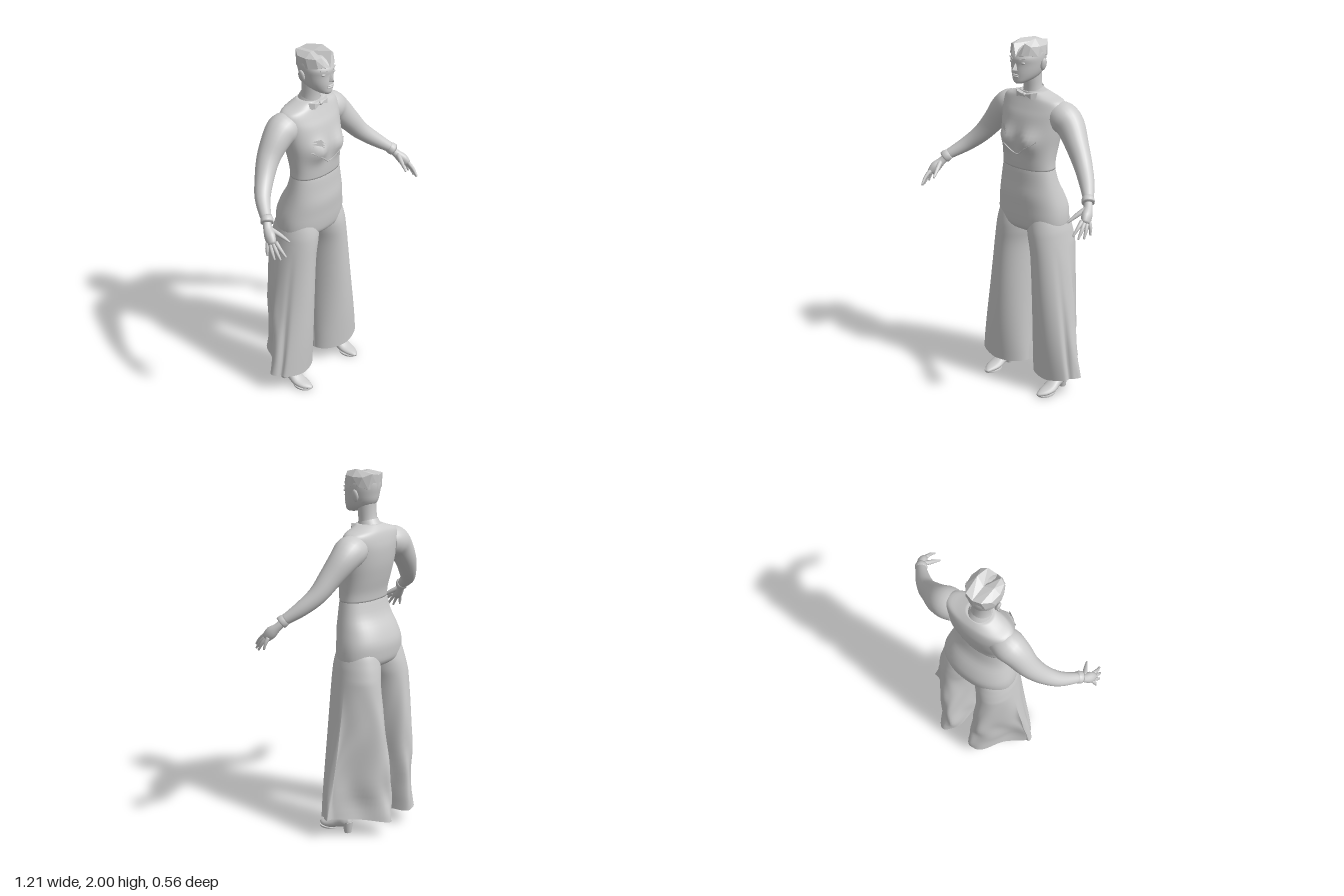
import * as THREE from 'three';
import { ConvexGeometry } from 'three/addons/geometries/ConvexGeometry.js';

const V = (x, y, z) => new THREE.Vector3(x, y, z);
const TAU = Math.PI * 2;

// Skin a list of rings (arrays of Vector3) with smooth normals; optional bottom cap.
function loft(rings, capStart = true) {
  const n = rings[0].length, pos = [], idx = [];
  rings.forEach(r => r.forEach(p => pos.push(p.x, p.y, p.z)));
  for (let j = 0; j < rings.length - 1; j++) {
    for (let i = 0; i < n; i++) {
      const a = j * n + i, b = j * n + (i + 1) % n;
      idx.push(a, a + n, b, b, a + n, b + n);
    }
  }
  const cap = (ring, base, end) => {
    const c = ring.reduce((s, p) => s.add(p), V(0, 0, 0)).divideScalar(n);
    const k = pos.length / 3;
    pos.push(c.x, c.y, c.z);
    for (let i = 0; i < n; i++) {
      const a = base + i, b = base + (i + 1) % n;
      if (end) idx.push(a, k, b); else idx.push(a, b, k);
    }
  };
  if (capStart) cap(rings[0], 0, false);
  cap(rings[rings.length - 1], (rings.length - 1) * n, true);
  const g = new THREE.BufferGeometry();
  g.setAttribute('position', new THREE.Float32BufferAttribute(pos, 3));
  g.setIndex(idx);
  g.computeVertexNormals();
  return g;
}

// Catmull-Rom refinement of equally long rows of numbers.
function refine(rows, k) {
  const out = [], last = rows.length - 1;
  for (let j = 0; j < last; j++) {
    const [p, a, b, q] = [rows[Math.max(j - 1, 0)], rows[j], rows[j + 1], rows[Math.min(j + 2, last)]];
    for (let s = 0; s < k; s++) {
      const t = s / k;
      out.push(a.map((v, i) => v + 0.5 * t * (b[i] - p[i] + t * (2 * p[i] - 5 * v + 4 * b[i] - q[i]
        + t * (3 * (v - b[i]) + q[i] - p[i])))));
    }
  }
  out.push(rows[last]);
  return out;
}

// Horizontal ring from [y, half width, front z, back z].
function ring([y, w, zf, zb], n = 40, e = 0.9) {
  return Array.from({ length: n }, (_, i) => {
    const a = i / n * TAU, c = Math.cos(a), s = Math.sin(a);
    return V(w * Math.sign(c) * Math.abs(c) ** e, y, (zf + zb) / 2 + (zf - zb) / 2 * Math.sign(s) * Math.abs(s) ** e);
  });
}

// Round limb through rows of [x, y, z, radius, flatness = 1], x mirrored by side.
function limb(rows, side = 1, k = 3, n = 14) {
  const r = refine(rows.map(([x, y, z, rad, flat = 1]) => [side * x, y, z, rad, flat]), k);
  const pts = r.map(q => V(q[0], q[1], q[2])), last = pts.length - 1;
  const span = pts[last].clone().sub(pts[0]);
  const ref = Math.abs(span.x) < Math.abs(span.z) || span.z === 0 ? V(1, 0, 0) : V(0, 0, 1);
  return loft(pts.map((p, j) => {
    const t = pts[Math.min(j + 1, last)].clone().sub(pts[Math.max(j - 1, 0)]).normalize();
    const u = ref.clone().addScaledVector(t, -t.dot(ref)).normalize();
    const b = u.clone().cross(t);
    return Array.from({ length: n }, (_, i) => {
      const a = i / n * TAU;
      return p.clone().addScaledVector(u, r[j][3] * Math.cos(a)).addScaledVector(b, r[j][3] * r[j][4] * Math.sin(a));
    });
  }));
}

// Wide trouser leg: round at the thigh, then a broad front and side with a narrow trailing back, folded to an open hem.
function trouserLeg(side) {
  // y, inner x, outer x, front z, back z
  const rows = refine([
    [0.085, 0.035, 0.365, 0.074, -0.292], [0.3, 0.035, 0.33, 0.086, -0.272], [0.55, 0.033, 0.288, 0.09, -0.25],
    [0.8, 0.026, 0.249, 0.089, -0.214], [0.91, 0.008, 0.232, 0.089, -0.197], [0.97, 0.0, 0.222, 0.084, -0.184],
    [1.03, 0.005, 0.205, 0.07, -0.165], [1.09, 0.03, 0.17, 0.05, -0.13]], 6);
  return loft(rows.map(([y, xi, xo, zf, zb]) => {
    const t = Math.max(0, Math.min(1, (0.88 - y) / 0.7));
    const zm = (zf + zb) / 2 * (1 - t) - 0.04 * t;
    return Array.from({ length: 96 }, (_, i) => {
      const a = i / 96 * TAU, s = Math.sin(a), out = side * Math.cos(a);
      const fold = Math.max(0, Math.min(1, 0.35 - s + out * 0.4));
      const wave = Math.sin(9 * a + 1.5 * Math.sin(11 * y + side)) + 0.4 * Math.sin(23 * y + 5 * a);
      const groove = Math.exp(-(((Math.atan2(s, out) - 0.55) / 0.12) ** 2));
      const m = 1 - t * (0.05 * fold * (1 - wave * 0.9) + 0.1 * groove);
      const back = s < 0 ? t * s * s : 0;
      const x = (xi + xo) / 2 + (xo - xi) / 2 * out * m - 0.1 * back;
      const z = s < 0 ? zm - (zm - zb) * Math.abs(s) ** (1 + 2.6 * t) * m : zm + (zf - zm) * s * m;
      return V(side * x, y + 0.03 * t * Math.max(0, out), z);
    });
  }), false);
}

export function createModel() {
  const model = new THREE.Group();
  model.name = 'figure';
  const grey = new THREE.MeshStandardMaterial({ color: 0xcccccc, side: THREE.DoubleSide });
  grey.name = 'plain grey';
  const add = (name, geo, x = 0, y = 0, z = 0, parent = model) => {
    const m = new THREE.Mesh(geo, grey);
    m.name = name;
    m.position.set(x, y, z);
    parent.add(m);
    return m;
  };
  const faceted = pts => new ConvexGeometry(pts.map(p => V(...p)));

  // Hips and waist of the trousers
  add('hips', loft(refine([[0.945, 0.17, 0.062, -0.15], [0.97, 0.212, 0.083, -0.178], [1.02, 0.218, 0.092, -0.188],
    [1.08, 0.212, 0.096, -0.188], [1.15, 0.196, 0.1, -0.162], [1.22, 0.18, 0.092, -0.122],
    [1.3, 0.164, 0.085, -0.101], [1.34, 0.155, 0.07, -0.09]], 3).map(r => ring(r))));

  // Bodice, with the bust pushed out of the plain rings
  const bodice = refine([[1.3, 0.165, 0.086, -0.102], [1.35, 0.165, 0.09, -0.109], [1.42, 0.172, 0.091, -0.128],
    [1.5, 0.185, 0.088, -0.146], [1.58, 0.196, 0.07, -0.154], [1.63, 0.203, 0.048, -0.15],
    [1.67, 0.188, 0.03, -0.14], [1.692, 0.125, 0.022, -0.127], [1.712, 0.07, 0.016, -0.108]], 4);
  const bust = p => {
    if (p.z > 0) p.z += 0.034 * Math.exp(-(((Math.abs(p.x) - 0.08) / 0.055) ** 2) - ((p.y - 1.46) / 0.055) ** 2);
    return p;
  };
  add('bodice', loft(bodice.map(r => ring(r, 48).map(bust))));

  // Neckline edge and pocket square on the chest
  const edge = [[-0.13, 1.47, 0.08], [-0.075, 1.43, 0.108], [0, 1.382, 0.091], [0.075, 1.43, 0.108], [0.13, 1.47, 0.08]];
  add('necklineEdge', new THREE.TubeGeometry(new THREE.CatmullRomCurve3(edge.map(p => V(...p))), 24, 0.0035, 5));
  for (let i = 0; i < 3; i++) {
    add('pocketSquare', faceted([[-0.125, 1.5 + i * 0.015, 0.075], [-0.06, 1.485 + i * 0.012, 0.112],
      [-0.08, 1.505 + i * 0.015, 0.1], [-0.1, 1.49 + i * 0.015, 0.09]]));
  }

  // Neck, collar and bow tie
  add('neck', limb([[0, 1.67, -0.045, 0.062], [0, 1.73, -0.038, 0.051], [0, 1.78, -0.033, 0.05], [0, 1.83, -0.03, 0.052]]));
  const collar = add('collar', new THREE.CylinderGeometry(0.055, 0.064, 0.03, 28, 1, true), 0, 1.712, -0.042);
  collar.rotation.x = 0.25;
  for (const s of [1, -1]) {
    add('bowTieWing', faceted([[0, 1.69, 0.018], [0, 1.702, 0.018], [s * 0.075, 1.714, 0.01], [s * 0.07, 1.676, 0.018],
      [s * 0.05, 1.708, 0.034], [s * 0.05, 1.68, 0.036], [0, 1.696, 0.034]]));
  }
  add('bowTieKnot', new THREE.SphereGeometry(0.011, 10, 8), 0, 1.696, 0.03);

  // Head
  const head = new THREE.Group();
  head.name = 'head';
  model.add(head);
  add('skull', loft(refine([[1.767, 0.018, 0.088, 0.04], [1.778, 0.04, 0.097, 0], [1.8, 0.062, 0.098, -0.06],
    [1.83, 0.076, 0.098, -0.088], [1.87, 0.085, 0.095, -0.098], [1.905, 0.089, 0.096, -0.105],
    [1.94, 0.084, 0.066, -0.104], [1.96, 0.06, 0.03, -0.09]], 3).map(r => ring(r, 36, 1))), 0, 0, 0, head);
  add('nose', faceted([[0, 1.882, 0.094], [0, 1.846, 0.12], [0, 1.838, 0.116], [-0.016, 1.838, 0.09],
    [0.016, 1.838, 0.09], [0.009, 1.87, 0.086], [-0.009, 1.87, 0.086]]), 0, 0, 0, head);
  for (const [y, h] of [[1.816, 0.005], [1.807, 0.006]]) {
    add('lip', new THREE.SphereGeometry(1, 12, 8), 0, y, 0.097, head).scale.set(0.024, h, 0.008);
  }
  for (const s of [1, -1]) {
    add('eye', new THREE.SphereGeometry(1, 12, 8), s * 0.037, 1.88, 0.081, head).scale.set(0.016, 0.008, 0.009);
    const brow = add('brow', new THREE.BoxGeometry(0.038, 0.006, 0.012), s * 0.038, 1.901, 0.083, head);
    brow.rotation.set(0, s * 0.45, s * 0.15);
    const ear = add('ear', new THREE.SphereGeometry(1, 12, 10), s * 0.09, 1.865, -0.022, head);
    ear.scale.set(0.011, 0.034, 0.02);
    ear.rotation.z = -s * 0.2;
    // Faceted hair halves, meeting in a notch over the forehead
    const lift = s > 0 ? 0 : -0.012;
    add('hairHalf', faceted([[0, 1.912, 0.095], [s * 0.035, 1.92, 0.09], [s * 0.066, 1.918, 0.068], [s * 0.089, 1.912, 0.02],
      [s * 0.087, 1.912, -0.04], [s * 0.06, 1.9, -0.085], [0, 1.9, -0.106], [s * 0.04, 1.982 + lift, 0.068],
      [s * 0.07, 1.965, 0.055], [s * 0.05, 2 + lift, 0], [s * 0.085, 1.962, 0], [s * 0.078, 1.962, -0.06],
      [s * 0.045, 1.98, -0.1], [0, 1.972, -0.11], [0, 1.975, -0.02]]), 0, 0, 0, head);
  }

  for (const s of [1, -1]) {
    const name = s > 0 ? 'left' : 'right';
    const bend = s > 0 ? 0.012 : -0.01; // the left elbow sits a little further forward
    // Sleeve and cuff
    add(name + 'Sleeve', limb([[0.13, 1.59, -0.06, 0.075], [0.19, 1.586, -0.066, 0.086], [0.245, 1.55, -0.064, 0.077],
      [0.315, 1.47, -0.048 + bend, 0.062], [0.385, 1.385, -0.016 + bend, 0.05], [0.457, 1.317, 0.036 + bend, 0.04],
      [0.525, 1.258, 0.112, 0.027]], s, 4, 24));
    add(name + 'Cuff', limb([[0.512, 1.268, 0.1, 0.028], [0.522, 1.258, 0.112, 0.034], [0.532, 1.247, 0.122, 0.033]], s, 2, 16));
    // Hand: palm, four fingers and a thumb
    add(name + 'Palm', limb([[0.522, 1.255, 0.112, 0.021], [0.542, 1.225, 0.135, 0.024, 0.9],
      [0.56, 1.195, 0.165, 0.027, 1.2], [0.573, 1.165, 0.19, 0.018, 1.4]], s));
    for (const [bx, by, bz, tx, ty, tz] of [[0.562, 1.18, 0.205, 0.56, 1.115, 0.272], [0.57, 1.172, 0.195, 0.58, 1.1, 0.253],
      [0.577, 1.168, 0.182, 0.594, 1.097, 0.225], [0.58, 1.17, 0.168, 0.6, 1.108, 0.182]]) {
      add(name + 'Finger', limb([[bx, by, bz, 0.011], [(bx + tx) / 2 + 0.004, (by + ty) / 2 + 0.004, (bz + tz) / 2, 0.0095],
        [tx, ty, tz, 0.005]], s, 3, 8));
    }
    add(name + 'Thumb', limb([[0.54, 1.225, 0.145, 0.014], [0.518, 1.198, 0.19, 0.012], [0.495, 1.163, 0.24, 0.005]], s, 3, 8));

    // Trouser leg, shin and heeled shoe
    add(name + 'TrouserLeg', trouserLeg(s));
    add(name + 'Shin', limb([[0.2, 0.07, -0.045, 0.028], [0.19, 0.2, -0.05, 0.034], [0.16, 0.5, -0.05, 0.05]], s));
    add(name + 'Shoe', limb([[0.21, 0.075, -0.082, 0.018, 1.4], [0.209, 0.068, -0.05, 0.036, 1], [0.21, 0.05, 0, 0.038, 0.8],
      [0.212, 0.028, 0.05, 0.044, 0.55], [0.208, 0.018, 0.1, 0.034, 0.5], [0.2, 0.012, 0.138, 0.01, 0.7]], s, 3, 18));
    add(name + 'Heel', new THREE.CylinderGeometry(0.03, 0.02, 0.065, 14), s * 0.21, 0.0325, -0.06);
    add(name + 'Sole', new THREE.CylinderGeometry(1, 1, 0.008, 20), s * 0.21, 0.004, 0.075).scale.set(0.042, 1, 0.058);
  }
  return model;
}
